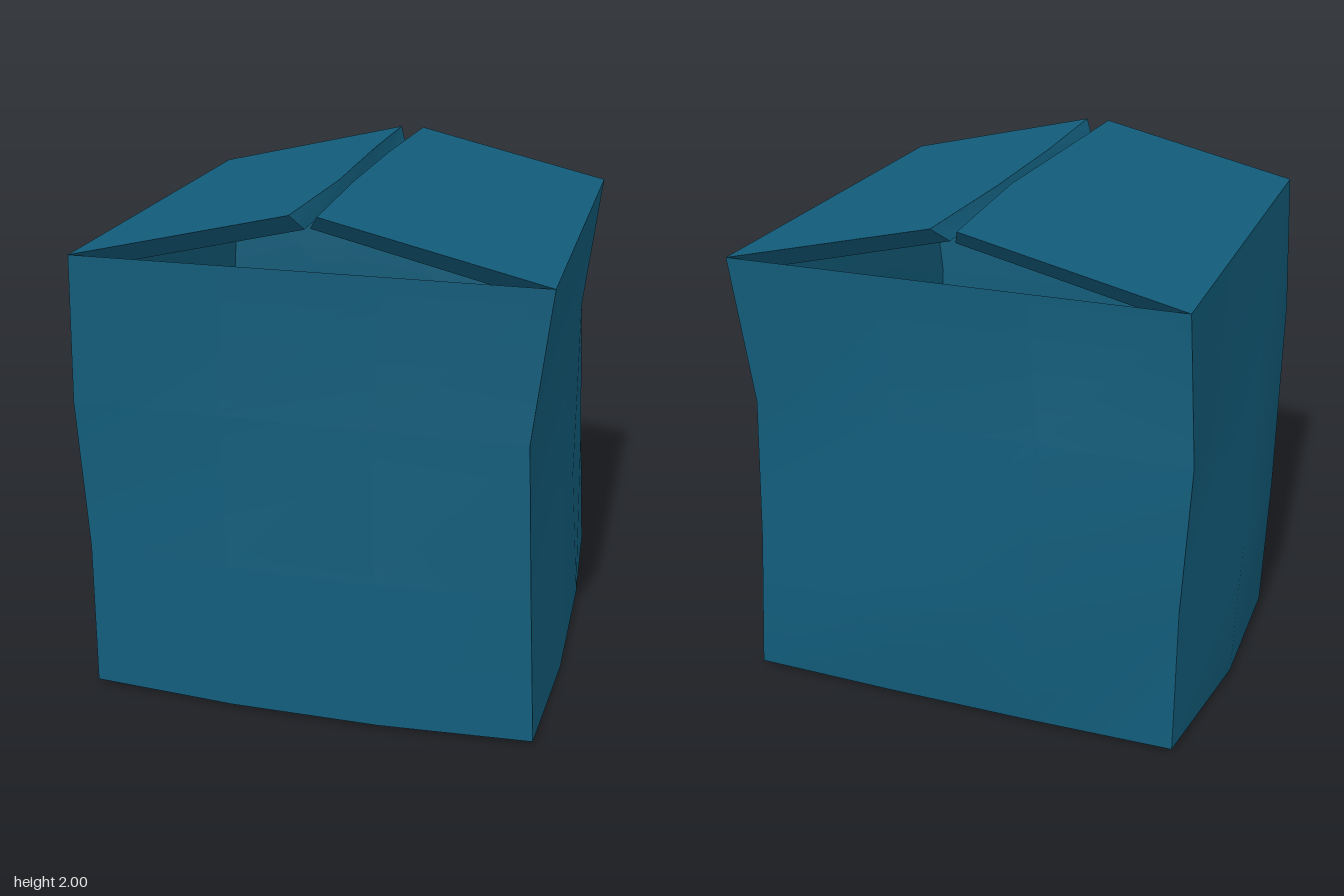
import * as THREE from 'three';

const material = new THREE.MeshStandardMaterial({ color: 0x125c7a, side: THREE.DoubleSide });
const lerp = THREE.MathUtils.lerp;

// Smooth surface from a grid point(i, j); i runs right and j up seen from its front
function patch(name, ni, nj, point, flip = false) {
  const positions = [], index = [];
  for (let j = 0; j <= nj; j++) for (let i = 0; i <= ni; i++) positions.push(...point(i, j));
  for (let j = 0; j < nj; j++) {
    for (let i = 0; i < ni; i++) {
      const a = j * (ni + 1) + i, b = a + 1, d = a + ni + 1, c = d + 1;
      if (flip) index.push(a, c, b, a, d, c);
      else index.push(a, b, c, a, c, d);
    }
  }
  const geometry = new THREE.BufferGeometry();
  geometry.setAttribute('position', new THREE.Float32BufferAttribute(positions, 3));
  geometry.setIndex(index);
  geometry.computeVertexNormals();
  const mesh = new THREE.Mesh(geometry, material);
  mesh.name = name;
  return mesh;
}

// Wall offsets from the bottom row to the top row: at the corners and mid-wall
const rows = [0.02, 0.61, 1.21, 1.79];
const walls = {
  front: { corner: [0.9, 0.88, 0.88, 0.9], middle: [0.94, 0.92, 0.88, 0.9] },
  left: { corner: [0.92, 0.885, 0.855, 0.92], middle: [0.955, 0.91, 0.855, 0.92] },
  back: { corner: [-0.87, -0.85, -0.85, -0.87], middle: [-0.88, -0.935, -0.85, -0.87] },
  right: { corner: [-0.84, -0.84, -0.87, -0.84], middle: [-0.935, -0.955, -0.87, -0.84] },
};
const names = ['front', 'left', 'back', 'right'];
const shrink = 0.92;

// Twelve columns run round the box, counterclockwise from above
function outer(column, row) {
  const k = column % 12, side = Math.floor(k / 3), t = (k % 3) / 3;
  const wall = walls[names[side]];
  const depth = (t ? wall.middle : wall.corner)[row];
  const start = walls[names[(side + 3) % 4]].corner[row];
  const end = walls[names[(side + 1) % 4]].corner[row];
  const along = lerp(start, end, t);
  let y = rows[row];
  if (row === 0 && k === 4) y = 0;
  if (row === 0 && k === 5) y = 0.04;
  return side % 2 ? [depth, y, along] : [along, y, depth];
}

function inner(column, row) {
  const [x, y, z] = outer(column, row);
  return [x * shrink, row === 0 ? 0.09 : row === 3 ? 1.73 : y, z * shrink];
}

// Bottom panel: its border follows the lowest row of the walls
function bottom(edge, i, m) {
  if (m === 0) return edge(i, 0);
  if (i === 3) return edge(3 + m, 0);
  if (m === 3) return edge(9 - i, 0);
  if (i === 0) return edge(12 - m, 0);
  const a = edge(12 - m, 0), b = edge(3 + m, 0);
  return [lerp(a[0], b[0], i / 3), edge(0, 0)[1], lerp(a[2], b[2], i / 3)];
}

// Thick top flap, hinged on a side wall and rising to the middle
function flap(name, sign, tipEnd, tipMiddle, tipUnder) {
  const group = new THREE.Group();
  group.name = name;
  const hinge = walls[sign > 0 ? 'left' : 'right'].corner[3];
  const section = (s) => {
    const z = lerp(0.9, -0.87, s / 3);
    const tip = s % 3 ? tipMiddle : tipEnd;
    return [
      [tip[0], s === 2 ? tip[1] : tipEnd[1], z],
      [hinge, 1.79, z],
      [hinge * shrink, 1.73, z * shrink],
      [tipUnder[0], tipUnder[1], z * shrink],
    ];
  };
  const mirrored = sign < 0;
  const faces = [['Top', 0, 1], ['Underside', 2, 3], ['Edge', 3, 0]];
  for (const [part, a, b] of faces) {
    group.add(patch(name + part, 1, 3, (i, j) => section(j)[i ? b : a], mirrored));
  }
  for (const [part, s] of [['FrontEnd', 0], ['BackEnd', 3]]) {
    const order = [3, 2, 0, 1];
    group.add(patch(name + part, 1, 1, (i, j) => section(s)[order[j * 2 + i]], mirrored !== (s === 3)));
  }
  return group;
}

export function createModel() {
  const model = new THREE.Group();
  model.name = 'box';

  // Walls, inside and out
  names.forEach((name, side) => {
    model.add(patch(name + 'Wall', 3, 3, (i, j) => outer(side * 3 + i, j)));
    model.add(patch(name + 'InnerWall', 3, 3, (i, j) => inner(side * 3 + i, j), true));
    // Open rims between the flaps and the walls
    model.add(patch(name + 'Rim', 3, 1, (i, j) => (j ? inner : outer)(side * 3 + i, 3)));
  });

  // Bottom panel
  model.add(patch('bottomPanel', 3, 3, (i, m) => bottom(outer, i, m), true));
  model.add(patch('insideFloor', 3, 3, (i, m) => bottom(inner, i, m)));

  // Top flaps
  model.add(flap('leftFlap', 1, [0.095, 1.985], [0.075, 1.985], [0.05, 1.925]));
  model.add(flap('rightFlap', -1, [-0.005, 1.985], [0.015, 2], [0.03, 1.92]));
  return model;
}
